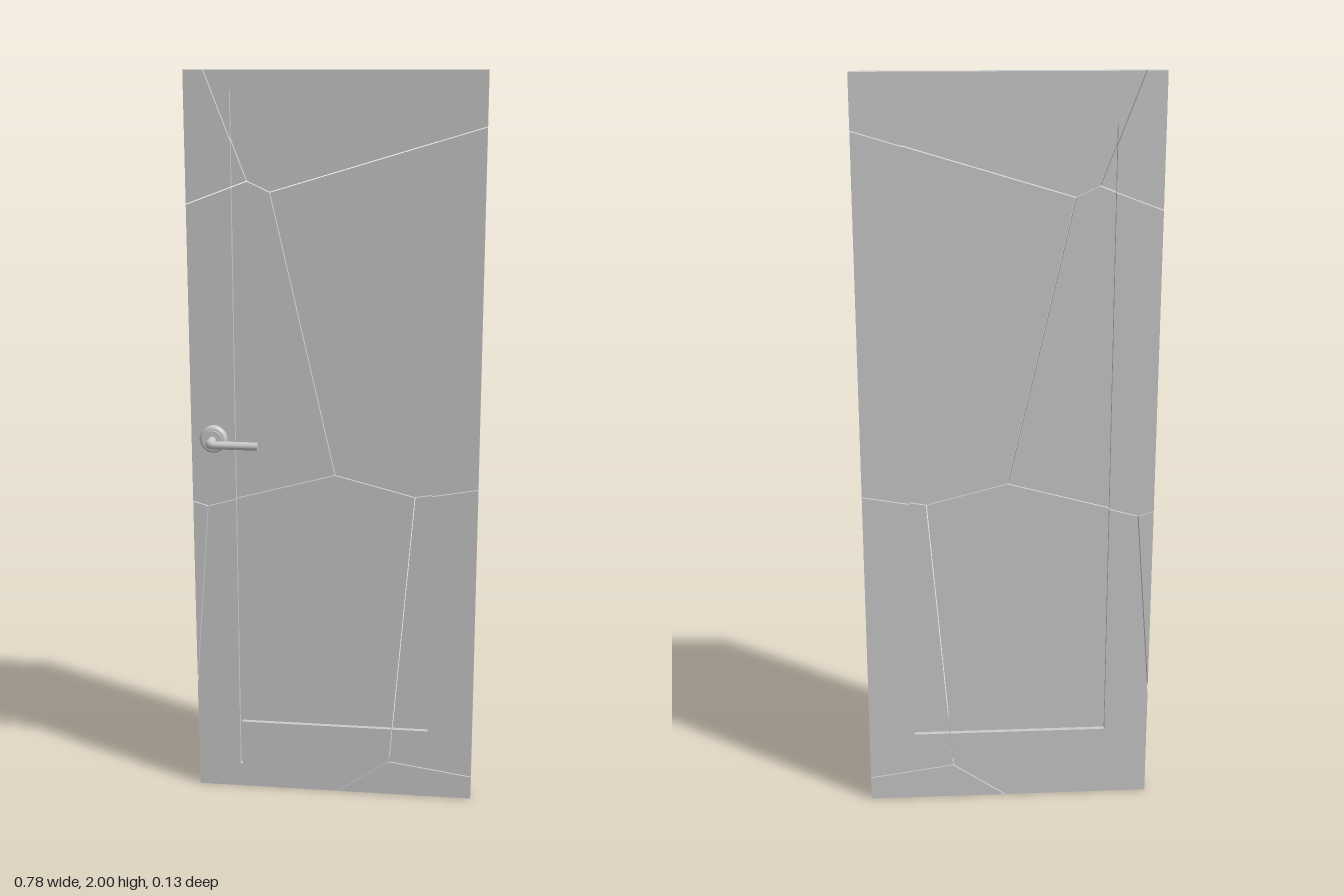
import * as THREE from 'three';

const material = new THREE.MeshStandardMaterial({ color: 0xcccccc });
const W = 0.39, H = 2, BACK = -0.065, FRONT = -0.025;
const RECESS = 0.013, GAP = 0.0013;
const PX0 = -0.27, PX1 = 0.265, PY0 = 0.2, PY1 = 1.875; // panel opening
const SLOT = PX0 + 0.006;                               // thin slot beside the left stile

// Crack junctions on the door face
const P = {
  tl: [-W, H], tr: [W, H], bl: [-W, 0], br: [W, 0],
  top: [-0.337, H], bottom: [0.01, 0],
  l1: [-W, 1.66], l2: [-W, 0.852], l3: [-W, 0.32],
  r1: [W, 1.86], r2: [W, 0.91], r3: [W, 0.067],
  j1: [-0.23, 1.72], j2: [-0.17, 1.692], j3: [0.002, 0.935],
  j4: [-0.348, 0.84], j5: [0.22, 0.88], j6: [0.157, 0.1],
};

// Convex shards, counter-clockwise
const shards = {
  topLeftShard: 'top tl l1 j1',
  topShard: 'top j1 j2 r1 tr',
  leftShard: 'l1 l2 j4 j3 j2 j1',
  rightShard: 'j2 j3 j5 r2 r1',
  bottomShard: 'j4 l3 bl bottom j6 j5 j3',
  leftSliver: 'l2 l3 j4',
  lowerRightShard: 'j5 j6 r3 r2',
  bottomRightShard: 'j6 bottom br r3',
};

// Joinery: name, x0, x1, y0, y1, z0, z1
const timbers = [
  ['leftStile', -W, PX0, 0, H, BACK, FRONT],
  ['rightStile', PX1, W, 0, H, BACK, FRONT],
  ['topRail', SLOT, PX1, PY1, H, BACK, FRONT],
  ['bottomRail', SLOT, PX1, 0, PY0, BACK, FRONT],
  ['topRailEnd', PX0, SLOT, 1.95, H, BACK, FRONT],
  ['bottomRailEnd', PX0, SLOT, 0, 0.07, BACK, FRONT],
  ['topSlot', PX0, SLOT, PY1, 1.95, BACK, FRONT - RECESS],
  ['bottomSlot', PX0, SLOT, 0.07, PY0, BACK, FRONT - RECESS],
  ['panel', PX0, PX1, PY0, PY1, BACK + RECESS, FRONT - RECESS],
];

// Keep the part of a polygon to the left of a->b, pulled back by inset
function clip(poly, a, b, inset) {
  const dx = b[0] - a[0], dy = b[1] - a[1], len = Math.hypot(dx, dy);
  const side = (p) => (dx * (p[1] - a[1]) - dy * (p[0] - a[0])) / len - inset;
  const out = [];
  poly.forEach((p, i) => {
    const q = poly[(i + 1) % poly.length], s = side(p), t = side(q);
    if (s >= -1e-9) out.push(p);
    if ((s > 1e-9 && t < -1e-9) || (s < -1e-9 && t > 1e-9)) {
      const k = s / (s - t);
      out.push([p[0] + (q[0] - p[0]) * k, p[1] + (q[1] - p[1]) * k]);
    }
  });
  return out;
}

const area = (poly) => poly.reduce((sum, p, i) => {
  const q = poly[(i + 1) % poly.length];
  return sum + (p[0] * q[1] - q[0] * p[1]) / 2;
}, 0);

const onBorder = (a, b) =>
  (a[0] === b[0] && Math.abs(a[0]) === W) || (a[1] === b[1] && (a[1] === 0 || a[1] === H));

function addMesh(parent, name, geometry, mat = material) {
  const mesh = new THREE.Mesh(geometry, mat);
  mesh.name = name;
  parent.add(mesh);
  return mesh;
}

function makeShard(name, keys) {
  const group = new THREE.Group();
  group.name = name;
  const cell = keys.split(' ').map((k) => P[k]);
  for (const [part, x0, x1, y0, y1, z0, z1] of timbers) {
    let poly = [[x0, y0], [x1, y0], [x1, y1], [x0, y1]];
    cell.forEach((a, i) => {
      const b = cell[(i + 1) % cell.length];
      poly = clip(poly, a, b, onBorder(a, b) ? 0 : GAP);
    });
    if (poly.length < 3 || area(poly) < 1e-7) continue;
    const shape = new THREE.Shape(poly.map(([x, y]) => new THREE.Vector2(x, y)));
    const geo = new THREE.ExtrudeGeometry(shape, { depth: z1 - z0, bevelEnabled: false });
    addMesh(group, part, geo.translate(0, 0, z0));
  }
  return group;
}

function makeHandle() {
  const handle = new THREE.Group();
  handle.name = 'handle';
  handle.position.set(-0.328, 1.032, 0);

  // Round stepped rose against the door
  const profile = [[0, FRONT], [0.037, FRONT], [0.037, FRONT], [0.037, -0.012], [0.035, -0.008],
    [0.031, -0.006], [0.026, -0.006], [0.026, -0.006], [0.026, 0], [0.026, 0], [0, 0]];
  const rose = new THREE.LatheGeometry(profile.map(([r, z]) => new THREE.Vector2(r, z)), 32);
  addMesh(handle, 'rose', rose.rotateX(Math.PI / 2));

  // Neck bending into the lever
  const v = (x, z) => new THREE.Vector3(x, 0, z);
  const path = new THREE.CurvePath();
  path.add(new THREE.LineCurve3(v(0, -0.005), v(0, 0.034)));
  path.add(new THREE.QuadraticBezierCurve3(v(0, 0.034), v(0, 0.05), v(0.016, 0.05)));
  path.add(new THREE.LineCurve3(v(0.016, 0.05), v(0.133, 0.05)));
  addMesh(handle, 'lever', new THREE.TubeGeometry(path, 48, 0.011, 16, false));
  const cap = addMesh(handle, 'leverEnd', new THREE.CircleGeometry(0.011, 16));
  cap.rotation.y = Math.PI / 2;
  cap.position.set(0.133, 0, 0.05);
  return handle;
}

export function createModel() {
  const model = new THREE.Group();
  model.name = 'crackedDoor';
  for (const [name, keys] of Object.entries(shards)) model.add(makeShard(name, keys));
  model.add(makeHandle());
  return model;
}
